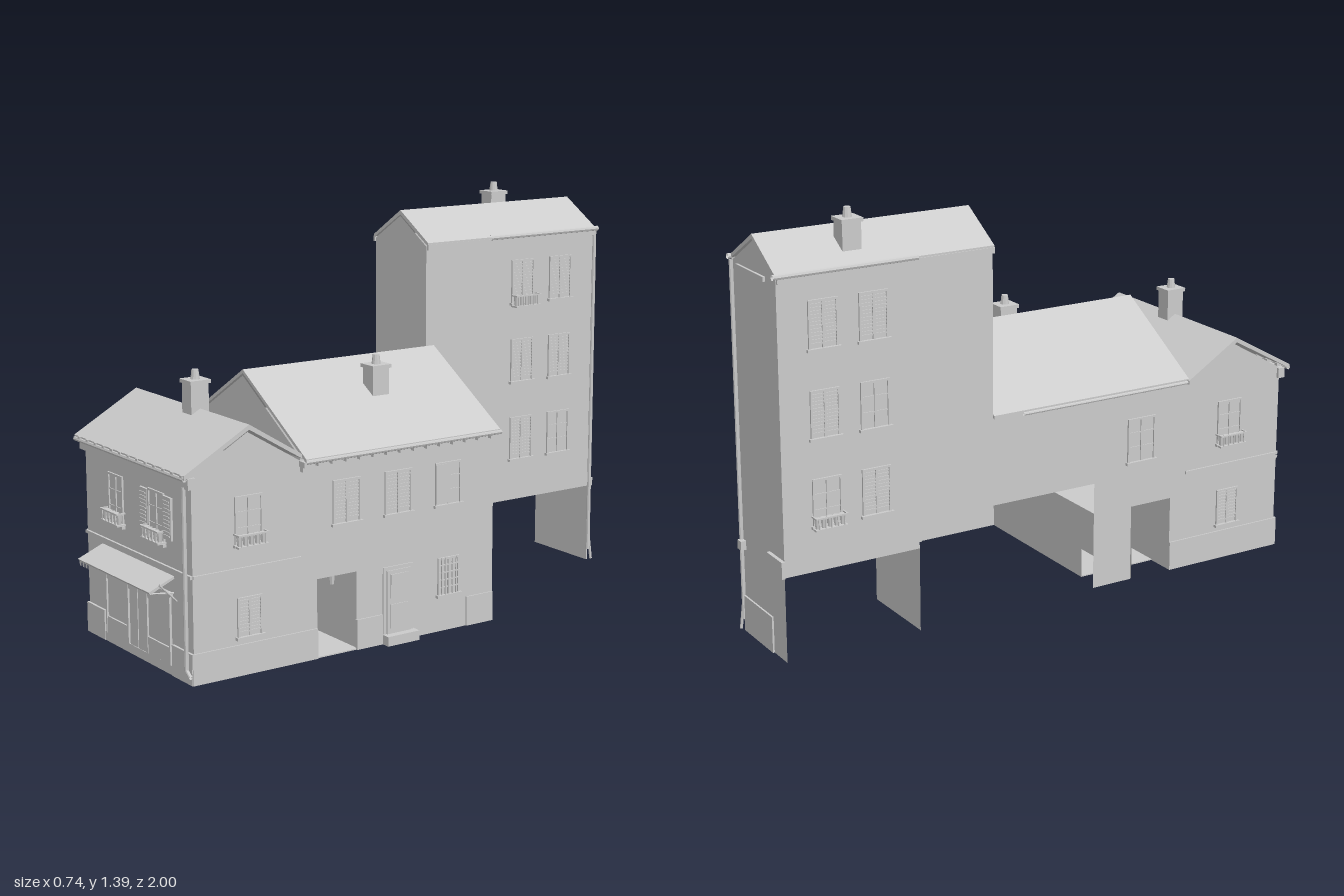
import * as THREE from 'three';

const mat = new THREE.MeshStandardMaterial({ color: 0xcccccc, side: THREE.DoubleSide, flatShading: true });

function add(parent, name, geo, x = 0, y = 0, z = 0) {
  const m = new THREE.Mesh(geo, mat);
  m.name = name;
  m.position.set(x, y, z);
  parent.add(m);
  return m;
}
// Box given by its limits
function box(parent, name, x0, x1, y0, y1, z0, z1) {
  return add(parent, name, new THREE.BoxGeometry(x1 - x0, y1 - y0, z1 - z0), (x0 + x1) / 2, (y0 + y1) / 2, (z0 + z1) / 2);
}
// Flat wall from an outline
function wall(parent, name, pts, z = 0) {
  return add(parent, name, new THREE.ShapeGeometry(new THREE.Shape(pts.map(p => new THREE.Vector2(p[0], p[1])))), 0, 0, z);
}
// Facade group: local x runs along the wall, local z points outward
function facade(root, name, angle, offset) {
  const holder = new THREE.Group();
  holder.name = name;
  holder.rotation.y = angle;
  holder.position.set(Math.sin(angle) * offset, 0, Math.cos(angle) * offset);
  root.add(holder);
  return holder;
}
// Roof or other profile extruded along z from z0 to z1
function prism(parent, name, pts, z0, z1) {
  const s = new THREE.Shape(pts.map(p => new THREE.Vector2(p[0], p[1])));
  return add(parent, name, new THREE.ExtrudeGeometry(s, { depth: z1 - z0, bevelEnabled: false }), 0, 0, z0);
}
// Straight pipe between two points
function pipe(parent, name, a, b, r = 0.006) {
  const c = new THREE.LineCurve3(new THREE.Vector3(...a), new THREE.Vector3(...b));
  return add(parent, name, new THREE.TubeGeometry(c, 1, r, 8));
}
// Framed opening with glazing bars, louvres or iron bars
function windowUnit(parent, u0, u1, v0, v1, style = 'glazed') {
  const g = new THREE.Group();
  g.name = style + 'Window';
  parent.add(g);
  const t = 0.007, mid = (u0 + u1) / 2;
  box(g, 'pane', u0, u1, v0, v1, -0.004, 0.001);
  for (const u of [u0, u1 - t]) box(g, 'frameSide', u, u + t, v0, v1, 0, 0.006);
  box(g, 'frameTop', u0, u1, v1 - t, v1, 0, 0.006);
  box(g, 'sill', u0 - 0.006, u1 + 0.006, v0 - 0.009, v0, 0, 0.012);
  box(g, 'centrePost', mid - 0.004, mid + 0.004, v0, v1, 0, 0.005);
  if (style === 'louvred') {
    for (let v = v0 + 0.012; v < v1 - 0.01; v += 0.011) box(g, 'louvre', u0 + t, u1 - t, v, v + 0.005, 0, 0.004);
  } else if (style === 'barred') {
    for (let i = 1; i < 6; i++) {
      const u = u0 + (u1 - u0) * i / 6;
      box(g, 'bar', u - 0.002, u + 0.002, v0, v1, 0.003, 0.008);
    }
    for (let i = 1; i < 5; i++) box(g, 'crossBar', u0, u1, v0 + (v1 - v0) * i / 5 - 0.002, v0 + (v1 - v0) * i / 5 + 0.002, 0.003, 0.007);
  } else {
    for (let i = 1; i < 3; i++) box(g, 'glazingBar', u0, u1, v0 + (v1 - v0) * i / 3 - 0.002, v0 + (v1 - v0) * i / 3 + 0.002, 0, 0.004);
  }
}
// Small balcony rail with pots
function planter(parent, u0, u1, v) {
  const g = new THREE.Group();
  g.name = 'windowPlanter';
  parent.add(g);
  box(g, 'shelf', u0, u1, v, v + 0.006, 0, 0.032);
  box(g, 'rail', u0, u1, v + 0.038, v + 0.043, 0.028, 0.033);
  for (const u of [u0, u1 - 0.005]) box(g, 'railReturn', u, u + 0.005, v + 0.038, v + 0.043, 0, 0.032);
  for (let i = 0; i < 5; i++) {
    const u = u0 + 0.012 + (u1 - u0 - 0.024) * i / 4;
    add(g, 'pot', new THREE.CylinderGeometry(0.011, 0.007, 0.034, 8), u, v + 0.022, 0.017);
    box(g, 'baluster', u - 0.002, u + 0.002, v, v + 0.04, 0.029, 0.032);
  }
}
function shutters(parent, u0, u1, v0, v1, w) {
  for (const u of [u0 - w, u1]) {
    box(parent, 'shutter', u, u + w, v0, v1, 0, 0.008);
    for (let v = v0 + 0.01; v < v1 - 0.008; v += 0.012) box(parent, 'shutterSlat', u + 0.006, u + w - 0.006, v, v + 0.005, 0.007, 0.011);
  }
}
function chimney(parent, x, y0, y1, z) {
  const g = new THREE.Group();
  g.name = 'chimney';
  parent.add(g);
  box(g, 'stack', x - 0.028, x + 0.028, y0, y1 - 0.012, z - 0.032, z + 0.032);
  box(g, 'cap', x - 0.034, x + 0.034, y1 - 0.012, y1, z - 0.037, z + 0.037);
  add(g, 'chimneyPot', new THREE.CylinderGeometry(0.011, 0.015, 0.032, 10), x, y1 + 0.015, z);
}

export function createModel() {
  const root = new THREE.Group();
  root.name = 'townHouses';
  const L = -0.34, R = 0.33, F = 0.91, B = -0.24, TB = -0.98, TR = -0.045;

  // Front facade
  const front = facade(root, 'frontFacade', 0, F);
  wall(front, 'frontWall', [[L, 0], [R, 0], [R, 0.64], [L, 0.64]]);
  box(front, 'stringCourse', L, R, 0.335, 0.345, 0, 0.008);
  box(front, 'cornice', L - 0.01, R + 0.01, 0.615, 0.65, -0.01, 0.016);
  for (const [a, b] of [[L - 0.004, -0.225], [0.21, R + 0.002]]) box(front, 'plinth', a, b, 0, 0.1, -0.01, 0.008);
  box(front, 'shopSill', -0.225, 0.21, 0, 0.03, 0, 0.006);
  windowUnit(front, -0.185, -0.09, 0.41, 0.57);
  windowUnit(front, 0.072, 0.17, 0.41, 0.57);
  shutters(front, 0.072, 0.17, 0.43, 0.565, 0.048);
  planter(front, -0.19, -0.08, 0.412);
  planter(front, 0.067, 0.177, 0.412);
  // Shop front
  for (const [a, b] of [[-0.215, -0.065], [0.05, 0.2]]) {
    box(front, 'shopPanel', a, b, 0.03, 0.085, 0, 0.006);
    box(front, 'shopGlass', a + 0.008, b - 0.008, 0.09, 0.245, 0, 0.002);
    for (const u of [a, b - 0.008]) box(front, 'shopPost', u, u + 0.008, 0.03, 0.255, 0, 0.008);
  }
  for (const [a, b] of [[-0.06, -0.01], [-0.005, 0.045]]) box(front, 'shopDoorLeaf', a, b, 0.03, 0.245, 0, 0.004);
  box(front, 'shopLintel', -0.225, 0.21, 0.25, 0.265, 0, 0.01);
  const awning = facade(root, 'awning', Math.PI / 2, 0);
  prism(awning, 'awningCanopy', [[-F, 0.32], [-F, 0.312], [-0.995, 0.275], [-1, 0.283]], -0.24, 0.22);
  for (let i = 0; i < 23; i++) {
    const x = -0.23 + i * 0.02;
    wall(root, 'awningScallop', [[x - 0.01, 0.283], [x + 0.01, 0.283], [x + 0.005, 0.262], [x - 0.005, 0.262]], 0.996);
  }
  for (const x of [-0.235, 0.215]) pipe(root, 'awningArm', [x, 0.265, F], [x, 0.276, 0.99], 0.003);
  pipe(front, 'frontDownpipe', [0.31, 0.62, 0.014], [0.31, 0.045, 0.014], 0.007);
  pipe(front, 'downpipeSpout', [0.31, 0.045, 0.014], [0.345, 0.032, 0.02]);
  pipe(front, 'signBracket', [0.25, 0.25, 0.01], [0.25, 0.31, 0.07], 0.003);

  // Right-hand street facade, with the passage cut out (local x is -z)
  const side = facade(root, 'streetFacade', Math.PI / 2, R);
  wall(side, 'streetWall', [[-F, 0], [-0.46, 0], [-0.46, 0.26], [-0.31, 0.26], [-0.31, 0], [-B, 0], [-B, 0.65],
    [-0.52, 0.65], [-0.71, 0.765], [-F, 0.65]]);
  box(side, 'stringCourse', -F, -0.52, 0.335, 0.345, 0, 0.006);
  for (const [a, b] of [[-F - 0.006, -0.46], [-0.31, -0.21], [0.13, -B]]) box(side, 'plinth', a, b, 0, 0.1, -0.006, 0.005);
  windowUnit(side, -0.76, -0.66, 0.42, 0.57);
  planter(side, -0.765, -0.655, 0.412);
  windowUnit(side, -0.755, -0.665, 0.125, 0.25, 'louvred');
  for (const [a, s] of [[-0.4, 'louvred'], [-0.2, 'louvred'], [0, 'glazed']]) windowUnit(side, a, a + 0.105, 0.43, 0.57, s);
  box(side, 'openShutter', 0.0, 0.05, 0.435, 0.565, 0, 0.008);
  windowUnit(side, 0.012, 0.1, 0.125, 0.25, 'barred');
  box(side, 'doorFrame', -0.207, -0.09, 0.03, 0.255, 0, 0.005);
  box(side, 'doorLeaf', -0.195, -0.1, 0.03, 0.243, 0, 0.009);
  for (const v of [0.05, 0.15]) box(side, 'doorPanel', -0.182, -0.113, v, v + 0.08, 0.008, 0.012);
  box(side, 'doorStep', -0.21, -0.085, 0, 0.032, 0, 0.035);

  // Left-hand facade (local x is z)
  const left = facade(root, 'courtFacade', -Math.PI / 2, -L);
  wall(left, 'courtWall', [[B, 0.37], [0.15, 0.37], [0.15, 0], [0.3, 0], [0.3, 0.26], [0.46, 0.26], [0.46, 0], [F, 0],
    [F, 0.65], [0.71, 0.765], [0.52, 0.67], [B, 0.67]]);
  box(left, 'stringCourse', 0.52, F, 0.335, 0.345, 0, 0.006);
  box(left, 'plinth', 0.46, F, 0, 0.1, -0.004, 0.005);
  windowUnit(left, 0.28, 0.39, 0.42, 0.57);
  windowUnit(left, 0.65, 0.75, 0.42, 0.57);
  planter(left, 0.645, 0.755, 0.412);
  windowUnit(left, 0.655, 0.745, 0.125, 0.25, 'louvred');

  // Passage through the house
  box(root, 'passageCeiling', L, R, 0.26, 0.265, 0.15, 0.46);
  box(root, 'passageFloor', -0.24, R, 0, 0.004, 0.17, 0.46);
  wall(root, 'passageWall', [[L, 0], [R, 0], [R, 0.26], [L, 0.26]], 0.46);
  wall(root, 'passageWall', [[L, 0], [R, 0], [R, 0.26], [L, 0.26]], 0.305);
  wall(root, 'storeWall', [[-0.24, 0], [R, 0], [R, 0.26], [-0.24, 0.26]], 0.17);
  add(root, 'passageLantern', new THREE.CylinderGeometry(0.01, 0.007, 0.03, 6), 0.28, 0.232, 0.37);
  pipe(root, 'lanternRod', [0.28, 0.245, 0.37], [0.28, 0.262, 0.37], 0.002);

  // Middle house gables and roof
  const gable = y => [[L, y], [R, y], [R, 0.66], [0, 0.865], [L, 0.66]];
  wall(root, 'middleBackWall', gable(0.37), B);
  wall(root, 'middleFrontGable', gable(0.6), 0.52);
  prism(root, 'middleRoof', [[0, 0.885], [0.365, 0.66], [0.365, 0.648], [0, 0.873], [L - 0.008, 0.662], [L - 0.008, 0.674]], B, 0.52);
  box(root, 'streetCornice', R, R + 0.016, 0.615, 0.645, B, 0.52);
  box(root, 'backLedge', 0.13, 0.32, 0.61, 0.63, B - 0.012, B);
  pipe(root, 'streetGutter', [0.362, 0.65, B - 0.005], [0.362, 0.65, 0.52], 0.008);
  for (let z = -0.21; z < 0.52; z += 0.052) box(root, 'rafterEnd', R, 0.362, 0.632, 0.65, z - 0.007, z + 0.007);
  pipe(root, 'courtGutter', [L - 0.008, 0.662, -0.13], [L - 0.008, 0.662, 0.52]);

  // Front house roof, ridge across the facade (local x is -z)
  const frontRoof = facade(root, 'frontHouseRoof', Math.PI / 2, 0);
  prism(frontRoof, 'frontRoof', [[-0.71, 0.79], [-0.515, 0.67], [-0.515, 0.656], [-0.71, 0.774], [-0.94, 0.648], [-0.94, 0.662]], L - 0.017, R + 0.012);
  pipe(root, 'frontGutter', [L - 0.015, 0.65, 0.938], [R + 0.012, 0.65, 0.938], 0.008);
  for (let x = L + 0.02; x < R; x += 0.054) box(root, 'eaveBracket', x - 0.007, x + 0.007, 0.645, 0.662, F, 0.944);

  chimney(root, 0.025, 0.755, 0.88, 0.71);
  chimney(root, 0.142, 0.76, 0.88, 0.1);
  chimney(root, -0.27, 1.25, 1.358, -0.705);

  // Tower walls
  const towerGable = y => [[L, y], [TR, y], [TR, 1.215], [-0.195, 1.305], [L, 1.215]];
  wall(root, 'towerFrontWall', towerGable(0.37), B);
  wall(root, 'towerBackWall', towerGable(0), TB);
  wall(root, 'towerLowerWall', [[L, 0], [TR, 0], [TR, 0.37], [L, 0.37]], -0.51);
  const towerRight = facade(root, 'towerRightFacade', Math.PI / 2, TR);
  const towerLeft = facade(root, 'towerLeftFacade', -Math.PI / 2, -L);
  for (const [g, s] of [[towerRight, 1], [towerLeft, -1]]) {
    wall(g, 'towerSideWall', [[-B * s, 0.37], [0.51 * s, 0.37], [0.51 * s, 0.28], [-TB * s, 0.28], [-TB * s, 1.22], [-B * s, 1.22]]);
    for (const [c, w] of [[0.66, 0.1], [0.83, 0.1]])
      for (const v of [0.43, 0.71, 0.99]) {
        const glazed = c > 0.7 ? v === 0.43 : s < 0 && v === 0.71;
        windowUnit(g, c * s - w / 2, c * s + w / 2, v, v + 0.15, glazed ? 'glazed' : 'louvred');
      }
    const p = s > 0 ? 0.665 : -0.83;
    planter(g, p - 0.055, p + 0.055, s > 0 ? 0.975 : 0.42);
  }
  // Tower floor on cross beams
  box(root, 'towerFloor', L, TR, 0.335, 0.34, TB, -0.51);
  for (let i = 0; i < 6; i++) box(root, 'floorBeam', L, TR, 0.295, 0.335, -0.94 + i * 0.08, -0.91 + i * 0.08);
  box(root, 'towerUpperFloor', L, TR, 0.37, 0.375, -0.51, B);

  // Tower roof, gutters and back details
  prism(root, 'towerRoof', [[-0.195, 1.325], [-0.035, 1.228], [-0.035, 1.216], [-0.195, 1.31], [-0.35, 1.216], [-0.35, 1.228]], -0.985, B);
  for (const x of [-0.349, -0.038]) {
    box(root, 'eaveBoard', x - 0.004, x + 0.004, 1.203, 1.222, TB, B);
    pipe(root, 'towerGutter', [x, 1.225, -0.995], [x, 1.225, -0.51], 0.009);
  }
  pipe(root, 'towerDownpipe', [-0.042, 1.215, -0.985], [-0.042, 0.04, -0.985], 0.007);
  pipe(root, 'downpipeFoot', [-0.042, 0.11, -0.985], [-0.035, 0.005, -0.994], 0.005);
  box(root, 'backEaveStrip', -0.27, -0.08, 1.195, 1.21, TB - 0.008, TB);
  box(root, 'cornerBlock', L - 0.006, -0.24, 0.28, 0.335, TB - 0.012, TB);
  box(root, 'cornerBlock', -0.065, TR + 0.006, 0.28, 0.31, TB - 0.018, TB);
  box(root, 'backPlinth', -0.25, TR, 0, 0.12, TB - 0.006, TB);
  return root;
}
